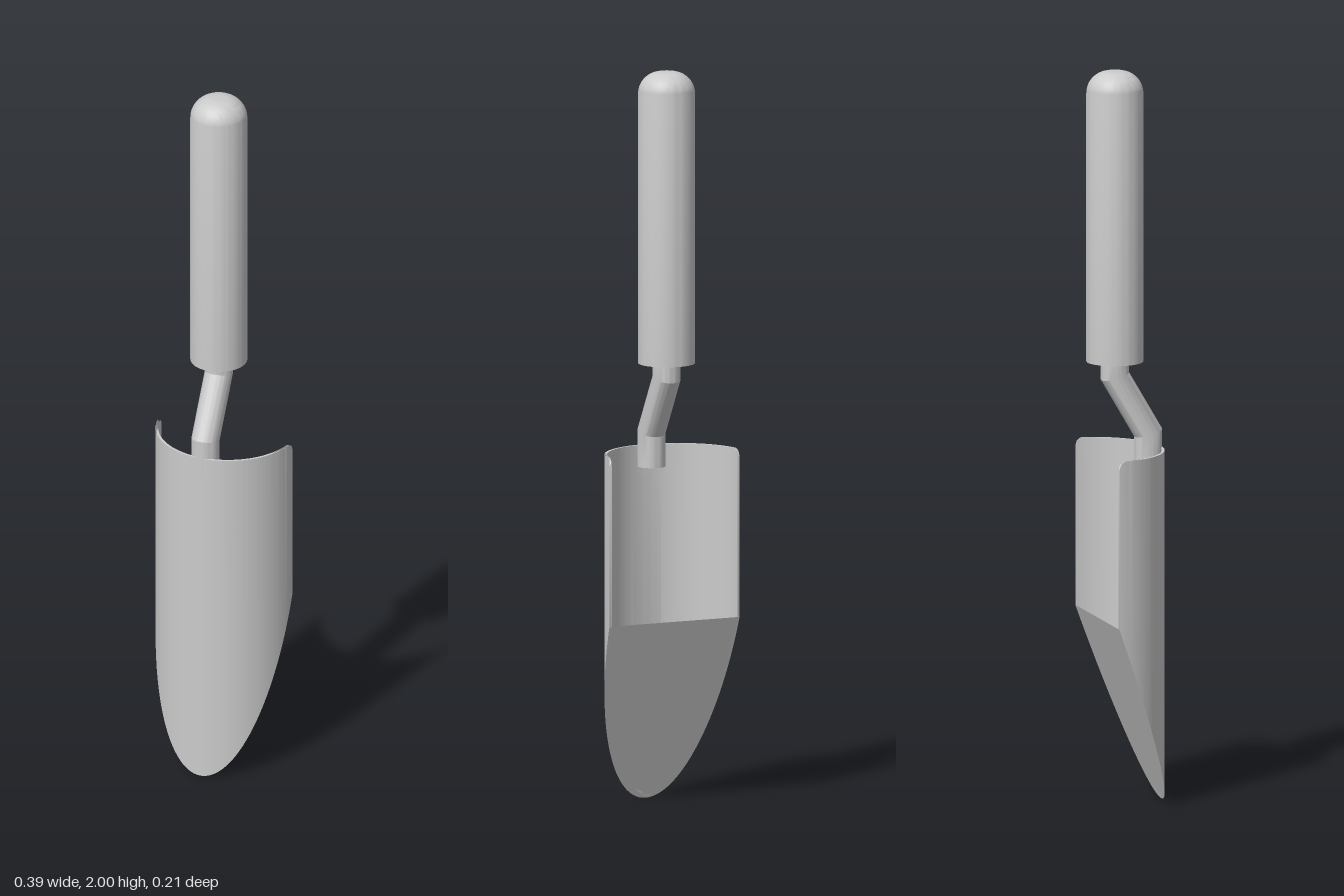
import * as THREE from 'three';
import { toCreasedNormals } from 'three/addons/utils/BufferGeometryUtils.js';

const CZ = -0.092, R = 0.195, WALL = 0.007;      // blade arc centre, radius and wall
const BACK = -0.077, FRONT = 0.103;              // blade depth range
const TOP = 0.965, CORNER = 0.022;

// Slanted lower edge and rounded upper corners of the blade, both as functions of z
const slantY = z => Math.max(0, (FRONT - z) * 0.505 / (FRONT - BACK));
const topY = z => {
  const d = Math.min(1, Math.max(0, 1 - (z - BACK) / CORNER));
  return TOP - CORNER * (1 - Math.sqrt(1 - d * d));
};

function moveVertices(geo, rule) {
  const p = geo.attributes.position, v = new THREE.Vector3();
  for (let i = 0; i < p.count; i++) {
    rule(v.fromBufferAttribute(p, i));
    p.setXYZ(i, v.x, v.y, v.z);
  }
  return geo;
}

export function createModel() {
  const group = new THREE.Group();
  const add = (name, geo, side = THREE.FrontSide) => {
    const mesh = new THREE.Mesh(geo, new THREE.MeshStandardMaterial({ color: 0xcccccc, side }));
    mesh.name = name;
    group.add(mesh);
  };
  const creased = geo => {
    const g = geo.index ? geo.toNonIndexed() : geo;
    g.computeVertexNormals();
    return toCreasedNormals(g, 0.4);
  };

  // Handle: cylinder with a rounded top
  const profile = [new THREE.Vector2(0, 1.205), new THREE.Vector2(0.077, 1.205)];
  for (let i = 0; i <= 10; i++) {
    const a = i / 10 * Math.PI / 2;
    profile.push(new THREE.Vector2(0.017 + 0.06 * Math.cos(a), 1.94 + 0.06 * Math.sin(a)));
  }
  profile.push(new THREE.Vector2(0, 2));
  const handle = new THREE.LatheGeometry(profile, 64);
  handle.translate(0, 0, -0.028);
  add('handle', creased(handle));

  // Neck: round rod with two mitred bends
  const rows = [[0.91, 0.066, 0], [1.005, 0.066, 0.275], [1.165, -0.028, 0.275], [1.22, -0.028, 0]];
  const neck = moveVertices(new THREE.CylinderGeometry(0.038, 0.038, 3, 40, 3), v => {
    const [y, z, mitre] = rows[Math.round(v.y + 1.5)];
    v.y = y + v.z * mitre;
    v.z += z;
  });
  add('neck', creased(neck));

  // Blade: curved wall, cut at a slant below
  const a0 = Math.PI + Math.asin((BACK - CZ) / R), a1 = 3 * Math.PI - a0;
  const wall = new THREE.Shape();
  wall.absarc(0, -CZ, R, a0, a1, false);
  wall.absarc(0, -CZ, R - WALL, a1, a0, true);
  wall.closePath();
  const blade = new THREE.ExtrudeGeometry(wall, { depth: 1, bevelEnabled: false, curveSegments: 96 });
  blade.rotateX(-Math.PI / 2);
  moveVertices(blade, v => { v.y = v.y > 0.5 ? topY(v.z) : slantY(v.z); });
  add('blade', creased(blade));

  // Flat plate closing the slanted cut
  const segment = new THREE.Shape();
  segment.absarc(0, -CZ, R - WALL / 2, a0, a1, false);
  segment.closePath();
  const plate = new THREE.ShapeGeometry(segment, 96);
  plate.scale(-1, 1, 1);
  plate.rotateX(-Math.PI / 2);
  moveVertices(plate, v => { v.y = slantY(v.z); });
  // Turn the mirrored faces to look out of the back
  plate.computeVertexNormals();
  add('bladePlate', plate, THREE.DoubleSide);

  return group;
}
